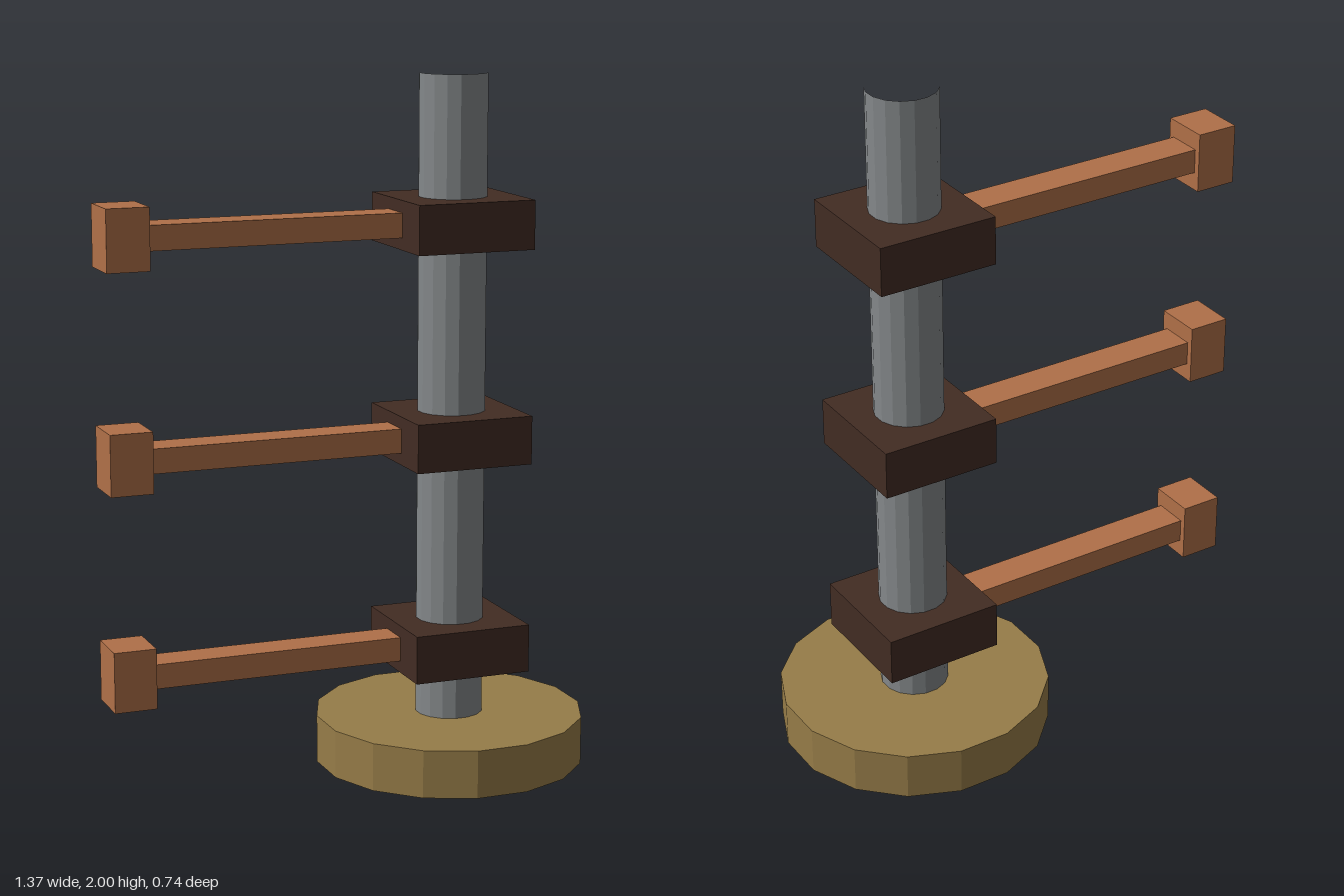
import * as THREE from 'three';

export function createModel() {
  const model = new THREE.Group();
  model.name = 'postWithHooks';

  const material = (name, color) => {
    const m = new THREE.MeshStandardMaterial({ color });
    m.name = name;
    return m;
  };
  const steel = material('steel grey', 0x84888a);
  const brass = material('dull brass', 0x967c48);
  const darkBrown = material('dark brown', 0x422c23);
  const copper = material('copper', 0xb07048);

  const add = (parent, name, geometry, mat, x, y, z = 0) => {
    const mesh = new THREE.Mesh(geometry, mat);
    mesh.name = name;
    mesh.position.set(x, y, z);
    parent.add(mesh);
    return mesh;
  };

  const SIDES = 16;
  const POST_X = 0.312;

  // Faceted cylinder with a flat side facing front
  const faceted = (radius, height, open) => {
    const g = new THREE.CylinderGeometry(radius, radius, height, SIDES, 1, open);
    g.rotateY(Math.PI / SIDES);
    const flat = g.toNonIndexed();
    flat.computeVertexNormals();
    return flat;
  };

  // Open-ended post and round base disc
  add(model, 'post', faceted(0.095, 2, true), steel, POST_X, 1);
  add(model, 'baseDisc', faceted(0.379, 0.135, false), brass, POST_X, 0.138);

  // Three identical brackets, each a clamp block, an arm and an end block
  const clampGeometry = new THREE.BoxGeometry(0.338, 0.135, 0.338);
  const armGeometry = new THREE.BoxGeometry(0.73, 0.068, 0.1);
  const endGeometry = new THREE.BoxGeometry(0.118, 0.168, 0.136);
  [0.412, 1.005, 1.598].forEach((y, i) => {
    const bracket = new THREE.Group();
    bracket.name = `bracket${i + 1}`;
    bracket.position.y = y;
    add(bracket, 'clampBlock', clampGeometry, darkBrown, POST_X, 0);
    add(bracket, 'arm', armGeometry, copper, -0.215, 0);
    add(bracket, 'endBlock', endGeometry, copper, -0.629, 0);
    model.add(bracket);
  });

  return model;
}
